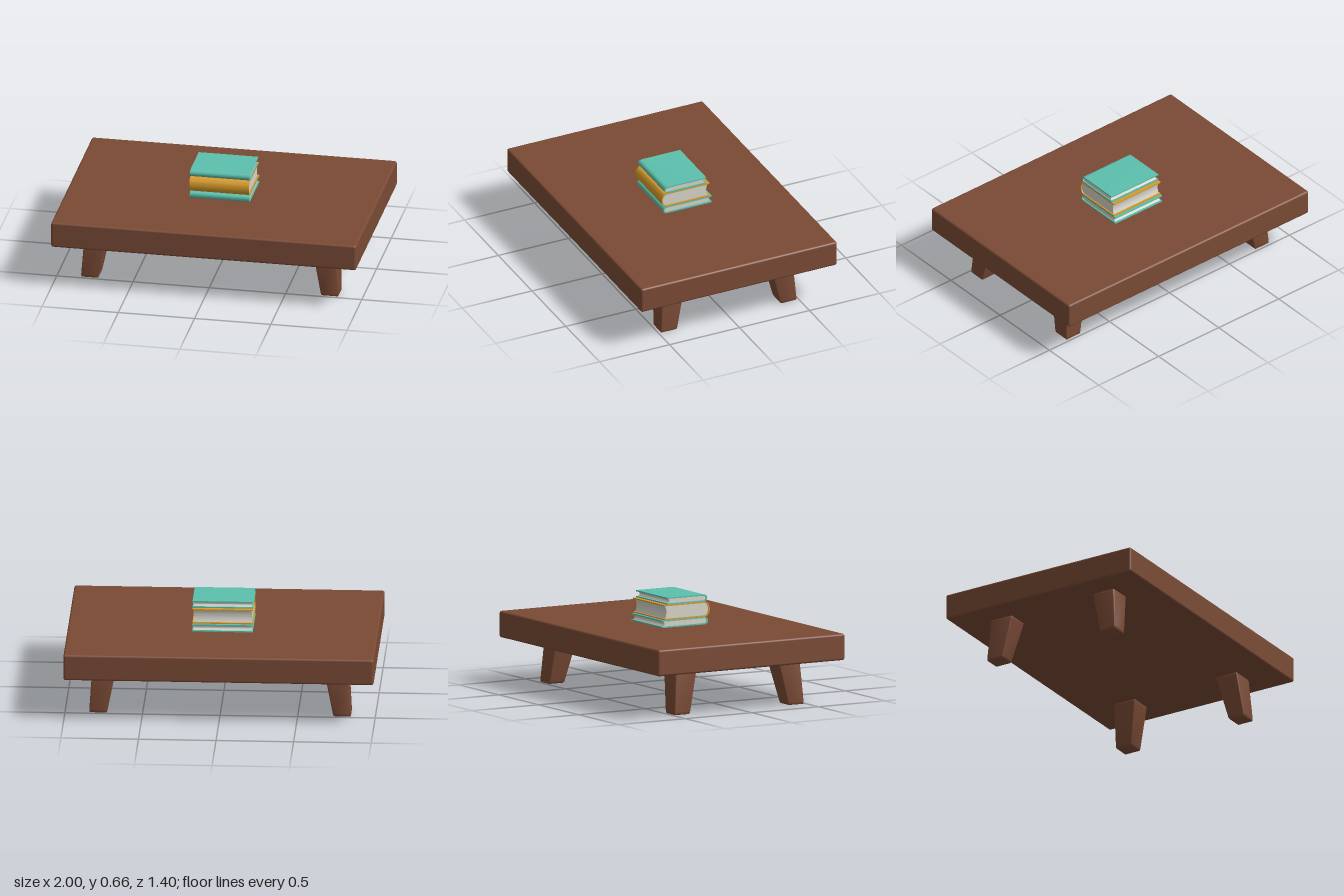
import * as THREE from 'three';
import { RoundedBoxGeometry } from 'three/addons/geometries/RoundedBoxGeometry.js';
import { toCreasedNormals } from 'three/addons/utils/BufferGeometryUtils.js';

const mat = (name, color) => {
  const m = new THREE.MeshStandardMaterial({ color });
  m.name = name;
  return m;
};

// Outline of (z, y) points pulled along x, centred on x = 0
function extrudeX(shape, width) {
  const g = new THREE.ExtrudeGeometry(shape, { depth: width, bevelEnabled: false, curveSegments: 10 });
  g.translate(0, 0, -width / 2);
  g.rotateY(-Math.PI / 2);
  return toCreasedNormals(g, 0.6);
}

// Half-ellipse spine points, from the bottom hinge round to the top hinge
function spineArc(hinge, front, y0, y1, inset) {
  const pts = [];
  const ry = (y1 - y0) / 2 - inset;
  for (let i = 0; i <= 14; i++) {
    const a = -Math.PI / 2 + (Math.PI * i) / 14;
    // flattened sides make the spine full rather than pointed
    const c = Math.pow(Math.max(0, Math.cos(a)), 0.75);
    pts.push(new THREE.Vector2(hinge + (front - inset - hinge) * c, (y0 + y1) / 2 + ry * Math.sin(a)));
  }
  return pts;
}

// A closed book lying flat with its spine towards +z
function makeBook(name, { y0, y1, hinge, front, back, pageBack }, coverMat, pageMat) {
  const book = new THREE.Group();
  book.name = name;
  const t = 0.008;
  const V = (z, y) => new THREE.Vector2(z, y);

  // C-shaped cover: outside round the spine, then back along the inside
  const outer = spineArc(hinge, front, y0, y1, 0);
  const inner = spineArc(hinge, front, y0, y1, t);
  const cover = new THREE.Mesh(extrudeX(new THREE.Shape([
    V(back, y0), ...outer, V(back, y1), V(back, y1 - t), ...inner.reverse(), V(back, y0 + t),
  ]), 0.39), coverMat);
  cover.name = name + 'Cover';

  // Page block: rounded at the spine, hollowed at the fore edge
  const mid = (y0 + y1) / 2;
  const s = new THREE.Shape(spineArc(hinge, front, y0, y1, t));
  s.lineTo(pageBack, y1 - t);
  s.quadraticCurveTo(pageBack + 0.018, mid, pageBack, y0 + t);
  const pages = new THREE.Mesh(extrudeX(s, 0.374), pageMat);
  pages.name = name + 'Pages';
  book.add(cover, pages);
  return book;
}

// Tapered leg, splayed outwards towards the corner (sx, sz)
function legGeometry(sx, sz) {
  const h = 0.295;
  const g = new RoundedBoxGeometry(1, 1, 1, 2, 0.06);
  const p = g.attributes.position;
  const lerp = THREE.MathUtils.lerp;
  for (let i = 0; i < p.count; i++) {
    const k = p.getY(i) + 0.5;
    p.setXYZ(i,
      sx * lerp(0.787, 0.748, k) + p.getX(i) * lerp(0.116, 0.155, k),
      k * h,
      sz * lerp(0.428, 0.385, k) + p.getZ(i) * lerp(0.116, 0.16, k));
  }
  return toCreasedNormals(g, 0.7);
}

export function createModel() {
  const model = new THREE.Group();
  model.name = 'tableWithBooks';
  const wood = mat('brownWood', 0x7a4a35);
  const teal = mat('tealCover', 0x5cc0ad);
  const gold = mat('goldCover', 0xd99c2b);
  const paper = mat('paper', 0xd6d4c9);

  // Table top
  const top = new THREE.Mesh(new RoundedBoxGeometry(2, 0.172, 1.4, 3, 0.014), wood);
  top.position.y = 0.374;
  top.name = 'tableTop';
  model.add(top);

  // Four legs
  for (const sx of [-1, 1]) for (const sz of [-1, 1]) {
    const leg = new THREE.Mesh(legGeometry(sx, sz), wood);
    leg.name = (sz > 0 ? 'front' : 'back') + (sx > 0 ? 'Left' : 'Right') + 'Leg';
    model.add(leg);
  }

  // Stack of three books
  const books = new THREE.Group();
  books.name = 'bookStack';
  books.add(
    makeBook('bottomBook', { y0: 0.461, y1: 0.51, hinge: 0.125, front: 0.155, back: -0.19, pageBack: -0.178 }, teal, paper),
    makeBook('middleBook', { y0: 0.511, y1: 0.609, hinge: 0.125, front: 0.167, back: -0.175, pageBack: -0.163 }, gold, paper),
    makeBook('topBook', { y0: 0.61, y1: 0.656, hinge: 0.118, front: 0.148, back: -0.152, pageBack: -0.141 }, teal, paper),
  );
  model.add(books);
  return model;
}
